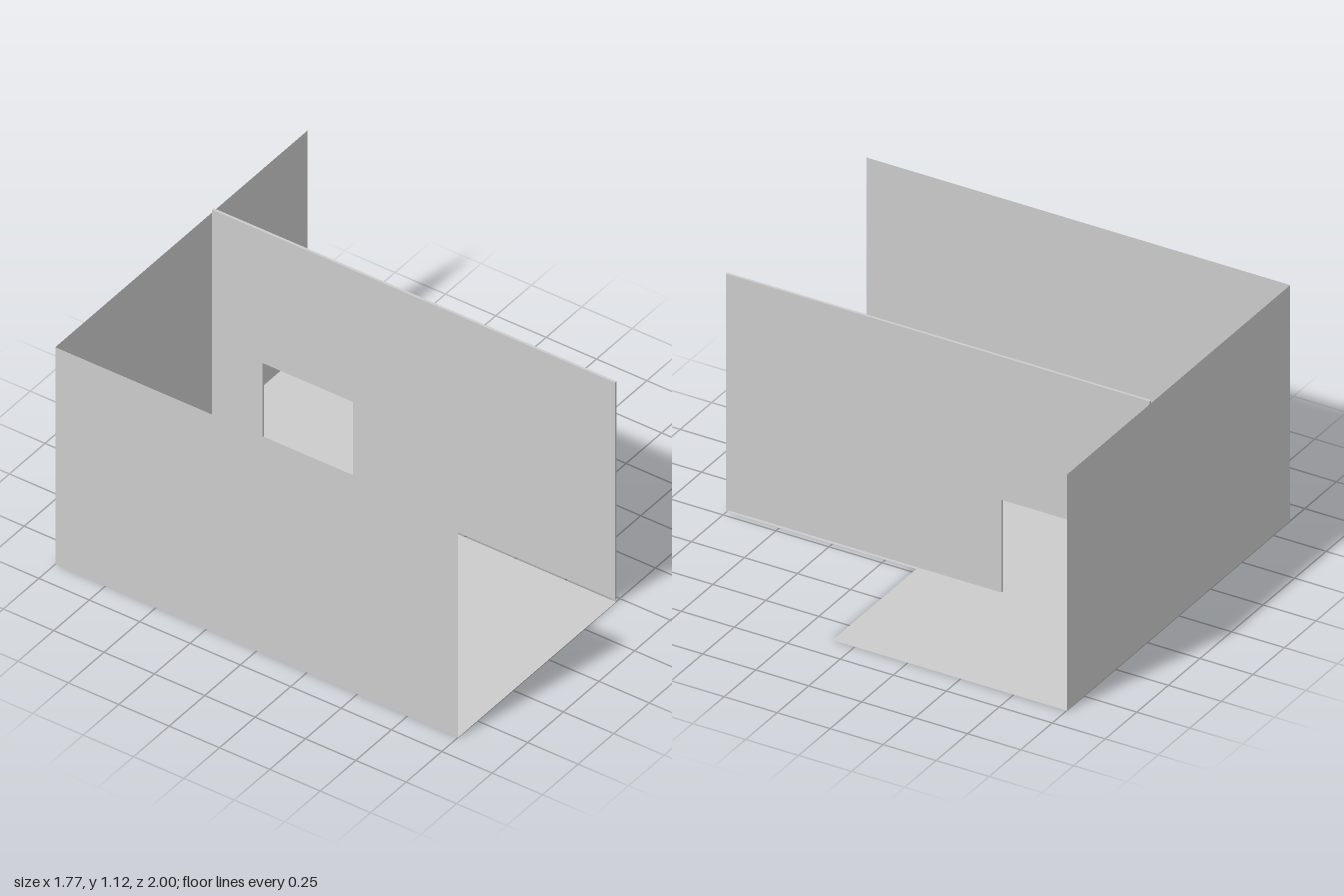
import * as THREE from 'three';

const W = 0.885, H = 1.108;
const DIVIDER_X = 0.222, THICKNESS = 0.012;

const shapeFrom = (points) => new THREE.Shape(points.map(([x, y]) => new THREE.Vector2(x, y)));

export function createModel() {
  const group = new THREE.Group();
  const material = new THREE.MeshStandardMaterial({ color: 0xcccccc, side: THREE.DoubleSide });
  const add = (name, geometry) => {
    const mesh = new THREE.Mesh(geometry, material);
    mesh.name = name;
    group.add(mesh);
    return mesh;
  };

  // L-shaped floor sheet, drawn as (x, -z) and laid flat
  const floor = shapeFrom([
    [-W, -1], [DIVIDER_X, -1], [DIVIDER_X, -0.105], [W, -0.105], [W, 1], [-W, 1],
  ]);
  add('floor', new THREE.ShapeGeometry(floor).rotateX(-Math.PI / 2));

  // Thin outer walls
  add('backWall', new THREE.PlaneGeometry(2 * W, H)).position.set(0, H / 2, -1);
  add('sideWall', new THREE.PlaneGeometry(2, H).rotateY(Math.PI / 2)).position.set(-W, H / 2, 0);

  // Dividing wall with a doorway, drawn as (z, y), floating just above the floor
  const bottom = 0.014, top = 1.122, doorTop = 0.45;
  const divider = shapeFrom([
    [-1, bottom], [-0.75, bottom], [-0.75, doorTop], [-0.3, doorTop],
    [-0.3, bottom], [1, bottom], [1, top], [-1, top],
  ]);
  const dividerGeometry = new THREE.ExtrudeGeometry(divider, { depth: THICKNESS, bevelEnabled: false });
  add('dividingWall', dividerGeometry.rotateY(-Math.PI / 2)).position.x = DIVIDER_X + THICKNESS / 2;

  return group;
}
